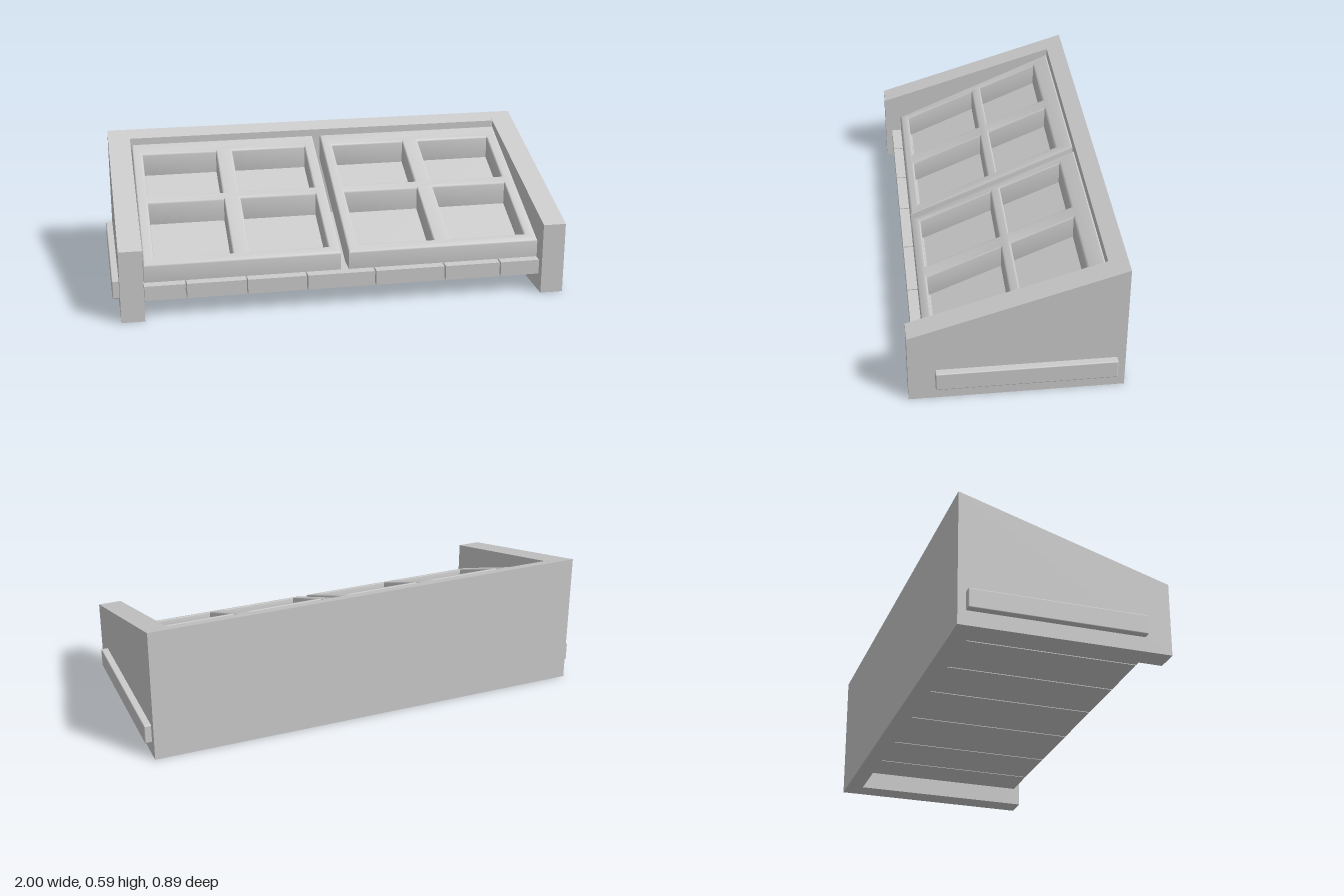
import * as THREE from 'three';
import { toCreasedNormals } from 'three/addons/utils/BufferGeometryUtils.js';
import { RoundedBoxGeometry } from 'three/addons/geometries/RoundedBoxGeometry.js';

const SLOPE = 0.426; // rise of the tilted trays towards the back

export function createModel() {
  const model = new THREE.Group();
  const material = new THREE.MeshStandardMaterial({ color: 0xcccccc });

  const add = (name, geometry, parent = model) => {
    const mesh = new THREE.Mesh(geometry, material);
    mesh.name = name;
    parent.add(mesh);
    return mesh;
  };

  // Box given by its limits on each axis
  const box = (x0, x1, y0, y1, z0, z1) =>
    new THREE.BoxGeometry(x1 - x0, y1 - y0, z1 - z0)
      .translate((x0 + x1) / 2, (y0 + y1) / 2, (z0 + z1) / 2);

  // Outline in (z, y), extruded along x from x0 to x1
  const profile = (points, x0, x1) => {
    const shape = new THREE.Shape(points.map(([z, y]) => new THREE.Vector2(-z, y)));
    return new THREE.ExtrudeGeometry(shape, { depth: x1 - x0, bevelEnabled: false })
      .rotateY(Math.PI / 2).translate(x0, 0, 0);
  };

  // Tilts a flat geometry by lifting each vertex according to its depth
  const tilt = (geometry) => {
    const p = geometry.attributes.position;
    for (let i = 0; i < p.count; i++) p.setY(i, p.getY(i) - SLOPE * p.getZ(i));
    geometry.computeVertexNormals();
    return geometry;
  };

  // Sloping side walls with a raised rail on the outside
  for (const [side, x0, sign] of [['left', 0.87, 1], ['right', -0.97, -1]]) {
    add(side + 'Wall', profile([[0.445, 0], [-0.445, 0], [-0.445, 0.588], [0.445, 0.318]], x0, x0 + 0.1));
    const rail = add(side + 'Rail', new RoundedBoxGeometry(0.05, 0.084, 0.745, 2, 0.005));
    rail.position.set(sign * 0.975, 0.106, -0.038);
  }

  // Back wall, its top edge following the side slope
  add('backWall', profile([[-0.37, 0], [-0.445, 0], [-0.445, 0.588], [-0.37, 0.565]], -0.87, 0.87));

  // Floor slats
  const slats = new THREE.Group();
  slats.name = 'floorSlats';
  model.add(slats);
  const edges = [-0.87, -0.69, -0.43, -0.17, 0.13, 0.44, 0.69, 0.87];
  for (let i = 0; i < edges.length - 1; i++) {
    add('floorSlat', box(edges[i] + 0.003, edges[i + 1] - 0.003, 0.08, 0.145, -0.37, 0.415), slats);
  }

  // Rectangle path in plan; z runs opposite to the shape's y
  const rectangle = (path, x0, x1, z0, z1) => {
    path.moveTo(x0, -z1);
    path.lineTo(x1, -z1);
    path.lineTo(x1, -z0);
    path.lineTo(x0, -z0);
    path.closePath();
    return path;
  };

  // Two tilted trays, each a bevelled frame with four pockets over a base
  for (const [name, x] of [['rightTray', -0.865], ['leftTray', 0.02]]) {
    const tray = new THREE.Group();
    tray.name = name;
    model.add(tray);
    const width = 0.85;
    const shape = rectangle(new THREE.Shape(), x, x + width, -0.367, 0.37);
    for (const [a, b] of [[0.048, 0.385], [0.46, 0.8]]) {
      for (const [z0, z1] of [[-0.295, -0.03], [0.012, 0.33]]) {
        shape.holes.push(rectangle(new THREE.Path(), x + a, x + b, z0, z1));
      }
    }
    const bevel = 0.009;
    const frame = new THREE.ExtrudeGeometry(shape, {
      depth: 0.107, bevelSize: bevel, bevelThickness: bevel, bevelOffset: -bevel, bevelSegments: 3,
    }).rotateX(-Math.PI / 2).translate(0, 0.267, 0);
    add('trayFrame', toCreasedNormals(tilt(frame), 0.7), tray);
    add('trayBase', toCreasedNormals(tilt(box(x + 0.01, x + width - 0.01, 0.255, 0.28, -0.357, 0.36)), 0.5), tray);
  }

  return model;
}
